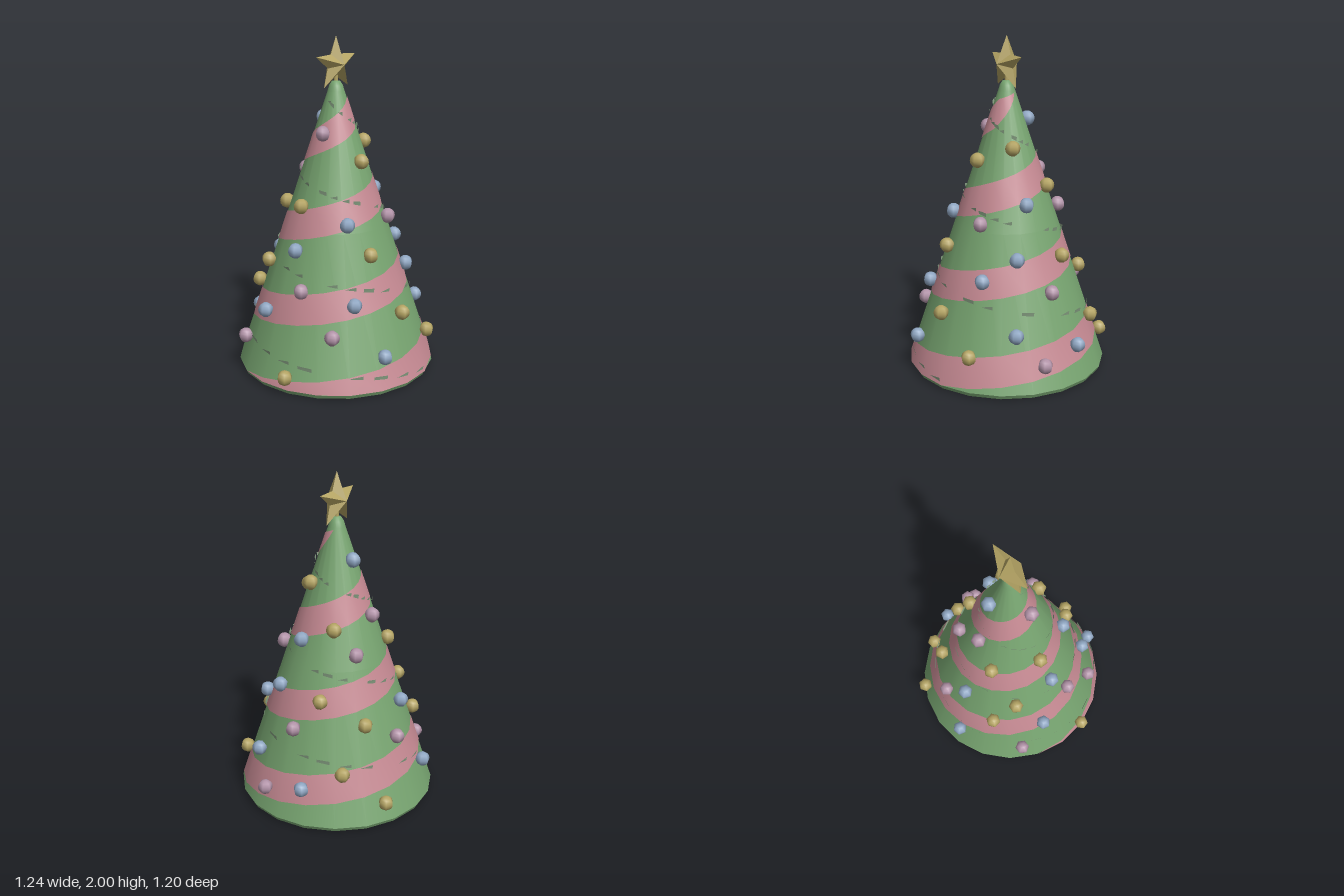
import * as THREE from 'three';

const SIDES = 20;
const mat = (name, color, extra = {}) => {
  const m = new THREE.MeshStandardMaterial({ color, ...extra });
  m.name = name;
  return m;
};
// cone radius at height y
const coneRadius = (y) => 0.6 - 0.333 * (y - 0.03);
// point around the trunk axis, angle 0 faces the front and turns towards +x
const around = (angle, r, y) => [Math.sin(angle) * r, y, Math.cos(angle) * r];

function geometryFrom(positions, index) {
  const g = new THREE.BufferGeometry();
  g.setAttribute('position', new THREE.Float32BufferAttribute(positions, 3));
  if (index) g.setIndex(index);
  g.computeVertexNormals();
  return g;
}

function lathe(points) {
  return new THREE.LatheGeometry(points.map(([r, y]) => new THREE.Vector2(r, y)), SIDES);
}

// spiral band that follows the cone's facets
function ribbonGeometry() {
  const pos = [], index = [];
  const first = -6, last = 66;
  for (let i = first; i <= last; i++) {
    const turn = i / SIDES;
    const mid = 0.09 + 0.48 * turn;
    const half = 0.085 * Math.min(1, (last - i) / 5);
    for (const edge of [mid - half, mid + half]) {
      const y = THREE.MathUtils.clamp(edge, 0.032, 1.69);
      pos.push(...around(turn * Math.PI * 2, coneRadius(y) + 0.004, y));
    }
    if (i < last) {
      const a = (i - first) * 2;
      index.push(a, a + 2, a + 1, a + 1, a + 2, a + 3);
    }
  }
  return geometryFrom(pos, index);
}

// broken garland of small slivers, winding the opposite way
function garlandGeometry() {
  const pos = [];
  const perTurn = 24;
  for (let i = 0; i < perTurn * 3.3; i++) {
    if ((i * 7) % 5 === 0 || (i * 3) % 11 === 0) continue;
    const angle = -(i / perTurn) * Math.PI * 2 + 0.4;
    const y = 0.03 + 0.48 * (i / perTurn);
    const r = coneRadius(y);
    const span = 0.13 + 0.012 / r;
    const slope = 0.076 * span;
    const a = around(angle, r + 0.004, y + slope);
    const b = around(angle + span, r + 0.004, y);
    const c = around(angle + span, r + 0.008, y + 0.024);
    const d = around(angle, r + 0.008, y + slope + 0.02);
    pos.push(...a, ...b, ...c);
    if (i % 3 === 0) pos.push(...a, ...c, ...d);
  }
  return geometryFrom(pos);
}

// faceted five-pointed star, ridged on both faces
function starGeometry(outer, inner, depth) {
  const pos = [];
  const rim = (i) => {
    const a = (i / 10) * Math.PI * 2;
    const r = i % 2 ? inner : outer;
    return [Math.sin(a) * r, Math.cos(a) * r, 0];
  };
  for (let i = 0; i < 10; i++) {
    pos.push(0, 0, depth, ...rim(i + 1), ...rim(i));
    pos.push(0, 0, -depth, ...rim(i), ...rim(i + 1));
  }
  return geometryFrom(pos);
}

export function createModel() {
  const group = new THREE.Group();
  const green = mat('tree green', 0x77a470);
  const pink = mat('ribbon pink', 0xc68a93);
  const gold = mat('gold', 0xb3a363);
  const blue = mat('bauble blue', 0x8fa6c2);
  const mauve = mat('bauble mauve', 0xb293a8);
  const sage = mat('garland sage', 0x87a083, { side: THREE.DoubleSide });

  const add = (name, geometry, material, x = 0, y = 0, z = 0) => {
    const mesh = new THREE.Mesh(geometry, material);
    mesh.name = name;
    mesh.position.set(x, y, z);
    group.add(mesh);
    return mesh;
  };

  // tree body
  add('treeCone', lathe([[0.6, 0.03], [coneRadius(0.9), 0.9], [coneRadius(1.68), 1.68]]), green);
  add('treeTip', lathe([[coneRadius(1.68), 1.68], [0.04, 1.715], [0.025, 1.738], [0, 1.745]]), green);
  add('treeBase', lathe([[0.588, 0.006], [0.6, 0.03]]), green);
  add('treeUnderside', lathe([[0, 0], [0.575, 0], [0.588, 0.006]]), green);

  // wrappings
  add('ribbon', ribbonGeometry(), pink);
  add('garland', garlandGeometry(), sage);

  // star on top
  add('starStem', new THREE.CylinderGeometry(0.01, 0.014, 0.08, 8), gold, 0, 1.76, 0);
  add('star', starGeometry(0.163, 0.07, 0.07), gold, 0, 1.837, 0);

  // baubles, given as x and z pairs; their height follows the cone
  const baubles = [
    ['goldBauble', gold, [
      [0.24, -0.54], [-0.31, -0.355], [0.225, -0.375], [0.4, -0.34], [-0.355, -0.21],
      [-0.165, -0.255], [0.215, -0.14], [0.36, -0.15], [-0.29, 0.01], [-0.58, 0.175],
      [0.165, 0.065], [0.005, 0.205], [-0.08, 0.37], [0.06, 0.495], [0.32, 0.465]]],
    ['blueBauble', blue, [
      [-0.17, -0.53], [-0.09, -0.41], [0.54, -0.145], [0.02, -0.13], [-0.49, -0.09],
      [-0.37, 0.045], [0.28, 0.045], [0.35, 0.155], [0.465, 0.235], [-0.17, 0.27],
      [0.26, 0.335], [-0.24, 0.4], [-0.14, 0.55]]],
    ['mauveBauble', mauve, [
      [0.04, -0.475], [-0.505, -0.265], [-0.02, -0.24], [0.16, -0.26], [-0.145, 0.04],
      [-0.42, 0.145], [0.45, -0.02], [0.57, 0.105], [0.155, 0.28], [-0.38, 0.36]]],
  ];
  const ball = new THREE.SphereGeometry(0.045, 6, 8);
  for (const [name, material, spots] of baubles) {
    for (const [x, z] of spots) {
      const y = 0.115 + (0.604 - Math.hypot(x, z)) * 2.95;
      add(name, ball, material, x, y, z).rotation.y = Math.atan2(x, z);
    }
  }
  return group;
}
